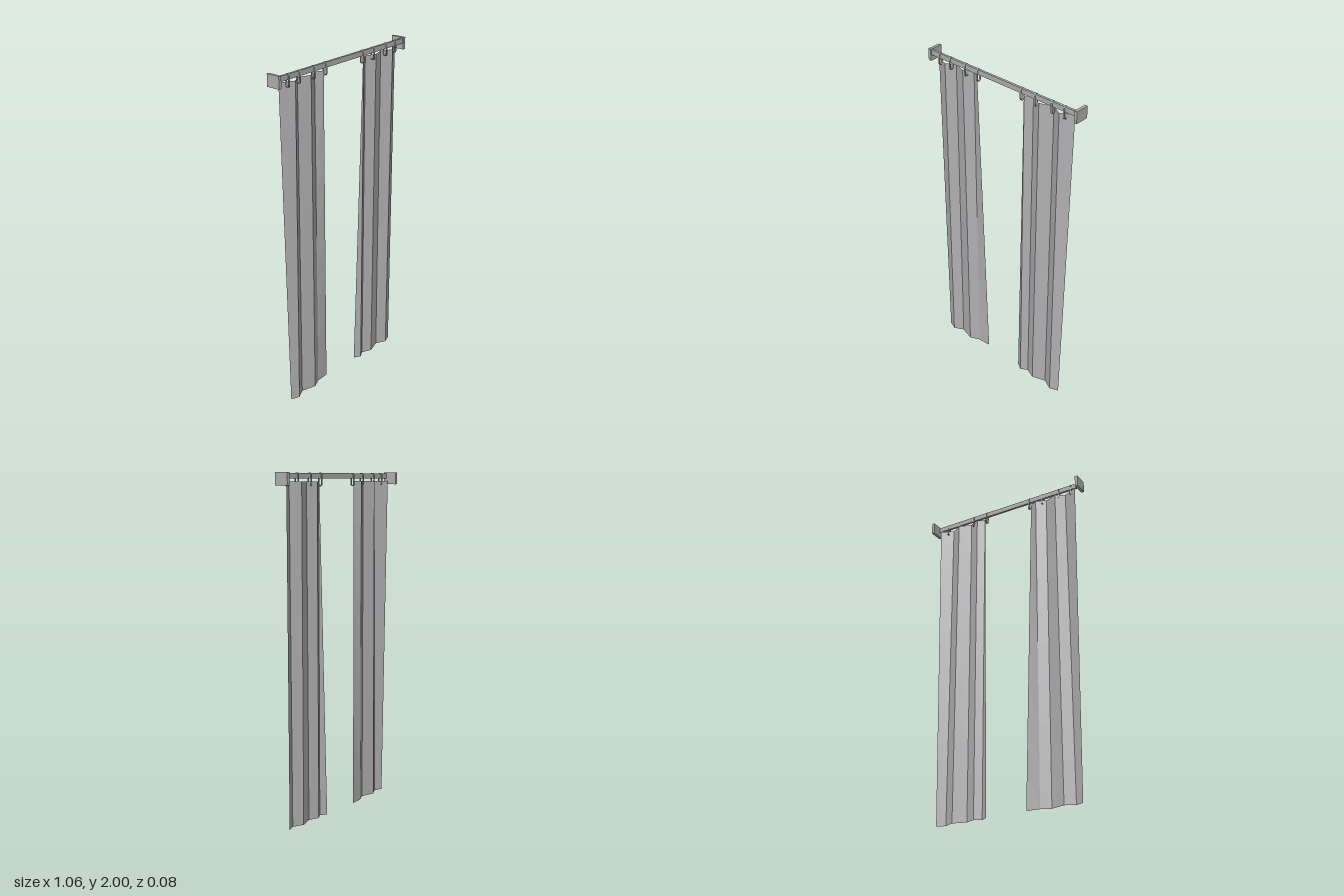
import * as THREE from 'three';

const fabric = new THREE.MeshStandardMaterial({ color: 0xb0b0b2, side: THREE.DoubleSide, flatShading: true });
fabric.name = 'greyFabric';
const metal = new THREE.MeshStandardMaterial({ color: 0xaeaeae });
metal.name = 'greyMetal';

const CURTAIN_TOP = 1.95;

function addMesh(parent, name, geometry, material, x = 0, y = 0, z = 0) {
  const mesh = new THREE.Mesh(geometry, material);
  mesh.name = name;
  mesh.position.set(x, y, z);
  parent.add(mesh);
  return mesh;
}

// Pleated sheet lofted between a top and a bottom fold line of [x, z] points
function pleatedSheet(top, bottom, rows = 8) {
  const positions = [];
  const index = [];
  const n = top.length;
  for (let r = 0; r <= rows; r++) {
    const t = r / rows;
    for (let i = 0; i < n; i++) {
      positions.push(
        THREE.MathUtils.lerp(bottom[i][0], top[i][0], t),
        t * CURTAIN_TOP,
        THREE.MathUtils.lerp(bottom[i][1], top[i][1], t));
    }
  }
  for (let r = 0; r < rows; r++) {
    for (let i = 0; i < n - 1; i++) {
      const a = r * n + i;
      index.push(a, a + 1, a + n + 1, a, a + n + 1, a + n);
    }
  }
  const g = new THREE.BufferGeometry();
  g.setAttribute('position', new THREE.Float32BufferAttribute(positions, 3));
  g.setIndex(index);
  g.computeVertexNormals();
  return g;
}

// Rounded slot outline, tall in y
function slot(path, halfWidth, halfHeight) {
  const s = halfHeight - halfWidth;
  path.moveTo(halfWidth, -s);
  path.lineTo(halfWidth, s);
  path.absarc(0, s, halfWidth, 0, Math.PI);
  path.lineTo(-halfWidth, -s);
  path.absarc(0, -s, halfWidth, Math.PI, Math.PI * 2);
  return path;
}

// Long flat loop that hangs around the rail, lying in the yz plane
function ringGeometry() {
  const shape = slot(new THREE.Shape(), 0.0125, 0.038);
  shape.holes.push(slot(new THREE.Path(), 0.0085, 0.034));
  const g = new THREE.ExtrudeGeometry(shape, { depth: 0.01, bevelEnabled: false, curveSegments: 8 });
  g.translate(0, 0, -0.005);
  g.rotateY(Math.PI / 2);
  return g;
}

export function createModel() {
  const model = new THREE.Group();
  model.name = 'curtains';

  // Rail and wall brackets
  addMesh(model, 'rail', new THREE.BoxGeometry(1.03, 0.03, 0.014), metal, 0, 1.98, 0.027);
  for (const side of [-1, 1]) {
    addMesh(model, side < 0 ? 'rightBracket' : 'leftBracket',
      new THREE.BoxGeometry(0.018, 0.07, 0.084), metal, side * 0.521, 1.965, -0.002);
  }

  // Hanging rings
  const ring = ringGeometry();
  for (const x of [-0.45, -0.367, -0.252, -0.159, 0.153, 0.248, 0.362, 0.444]) {
    addMesh(model, 'ring', ring, metal, x, 1.96, 0.026);
  }

  // Curtain panels
  addMesh(model, 'rightCurtain', pleatedSheet(
    [[-0.49, -0.002], [-0.404, 0.038], [-0.351, 0.002], [-0.275, 0.03], [-0.216, 0.002], [-0.17, 0.026]],
    [[-0.467, 0.012], [-0.417, 0.032], [-0.359, 0.002], [-0.272, 0.028], [-0.214, 0.002], [-0.132, -0.003]]), fabric);
  addMesh(model, 'leftCurtain', pleatedSheet(
    [[0.164, 0.024], [0.168, 0.026], [0.211, 0.002], [0.272, 0.03], [0.35, 0.002], [0.414, 0.038], [0.487, -0.002]],
    [[0.127, 0.002], [0.167, 0.026], [0.209, 0.002], [0.269, 0.028], [0.352, 0.002], [0.414, 0.032], [0.467, 0.012]]), fabric);

  return model;
}
